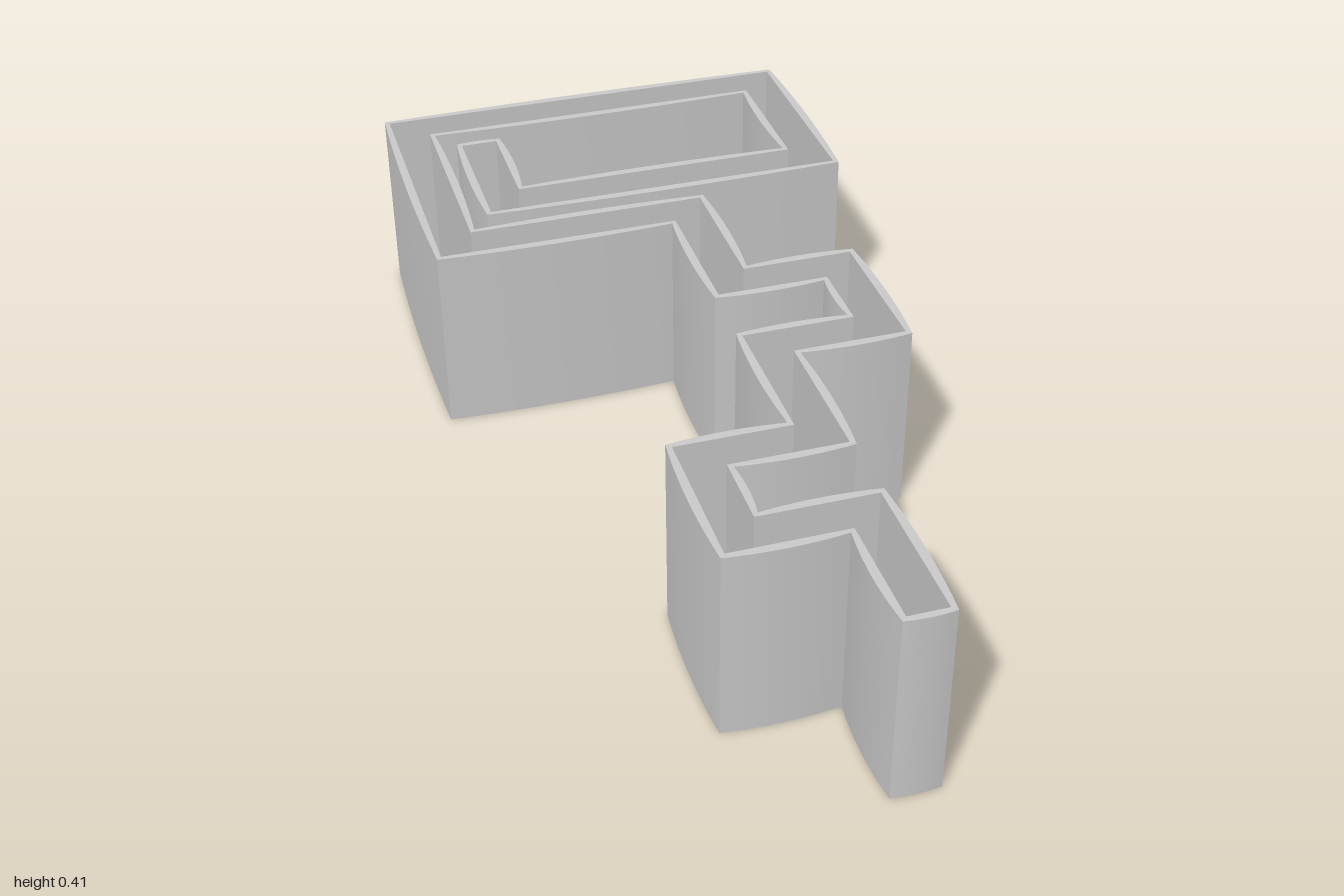
import * as THREE from 'three';
import { toCreasedNormals } from 'three/addons/utils/BufferGeometryUtils.js';

const HEIGHT = 0.413, FLOOR = 0.02;
const CHANNEL = 0.04; // half width of the channel
const CORNER = 0.01;  // wall thickness at the corners
const BOW = 0.008;    // extra thickness in the middle of each wall

// Centre line of the channel in plan, as [x, z]
const path = [
  [0.085, 0.985], [0.085, 0.704], [-0.152, 0.704], [-0.152, 0.466],
  [0.085, 0.466], [0.085, 0.153], [0.32, 0.153], [0.32, -0.085],
  [0.085, -0.085], [0.085, -0.397], [-0.428, -0.397], [-0.428, -0.942],
  [0.423, -0.942], [0.423, -0.55], [-0.288, -0.55], [-0.288, -0.825],
].map(([x, z]) => new THREE.Vector2(x, -z));

// Closed outline at a half width h on both sides of the right-angled path
function outline(h) {
  const n = path.length;
  const dirs = path.slice(1).map((p, i) => p.clone().sub(path[i]).normalize());
  const side = (s) => path.map((p, i) => {
    const q = p.clone();
    const adjacent = [dirs[i - 1], dirs[i]].filter(Boolean);
    adjacent.forEach((d) => q.add(new THREE.Vector2(-d.y, d.x).multiplyScalar(s * h)));
    if (i === 0) q.addScaledVector(dirs[0], CHANNEL - h);
    if (i === n - 1) q.addScaledVector(dirs[n - 2], h - CHANNEL);
    return q;
  });
  // right side forwards, left side back: counter-clockwise
  return [...side(-1), ...side(1).reverse()];
}

// Replace each straight edge by one that bulges slightly outwards
function bowed(points, steps = 10) {
  return points.flatMap((a, i) => {
    const b = points[(i + 1) % points.length];
    const d = b.clone().sub(a);
    const bulge = BOW * Math.min(1, d.length() / 0.2);
    const out = new THREE.Vector2(d.y, -d.x).normalize();
    return Array.from({ length: steps }, (_, k) => {
      const t = k / steps;
      return a.clone().addScaledVector(d, t).addScaledVector(out, bulge * 4 * t * (1 - t));
    });
  });
}

function slab(name, shape, depth) {
  const geometry = new THREE.ExtrudeGeometry(shape, { depth, bevelEnabled: false });
  geometry.rotateX(-Math.PI / 2);
  const mesh = new THREE.Mesh(
    toCreasedNormals(geometry, 0.5),
    new THREE.MeshStandardMaterial({ color: 0xcccccc })
  );
  mesh.name = name;
  return mesh;
}

export function createModel() {
  const group = new THREE.Group();
  group.name = 'meanderChannel';
  const channel = outline(CHANNEL);

  // Thin walls around the open channel
  const wallShape = new THREE.Shape(bowed(outline(CHANNEL + CORNER)));
  wallShape.holes.push(new THREE.Path(channel));
  group.add(slab('walls', wallShape, HEIGHT));

  // Floor closing the channel at the bottom
  group.add(slab('floor', new THREE.Shape(channel), FLOOR));
  return group;
}
